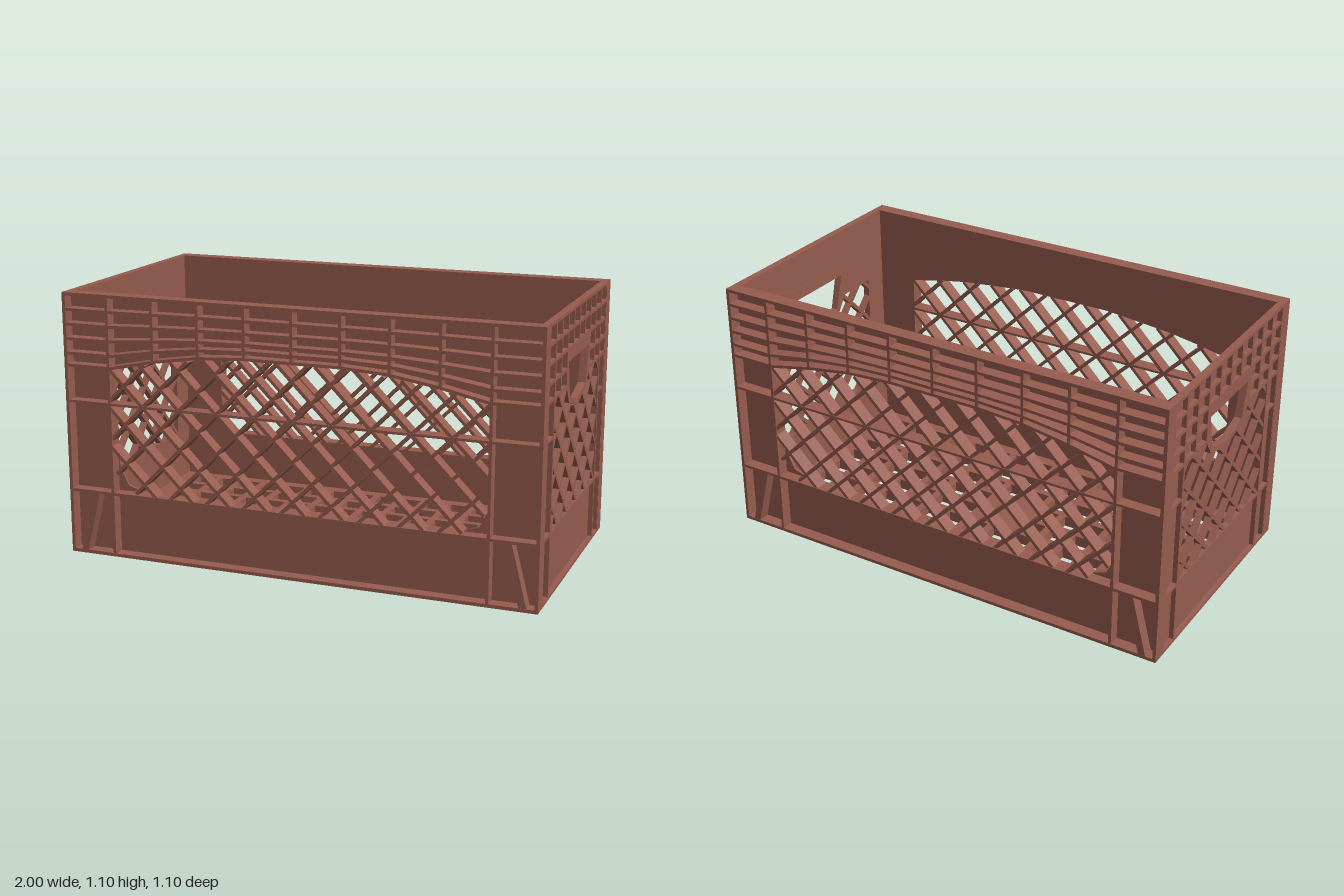
import * as THREE from 'three';
import { mergeGeometries } from 'three/addons/utils/BufferGeometryUtils.js';

const H = 1.1, HX = 1, HZ = 0.55;
const LONG_DEPTH = 0.06, END_DEPTH = 0.03, SKIN = 0.01;
const plastic = new THREE.MeshStandardMaterial({ color: 0x965c4f });
plastic.name = 'brick plastic';

const mesh = (name, geos) => {
  const m = new THREE.Mesh(mergeGeometries(geos.map(g => (g.index ? g.toNonIndexed() : g))), plastic);
  m.name = name;
  return m;
};

// Straight rib in the wall plane; z = 0 is the outer face, inside is negative
function bar(u0, y0, u1, y1, t, z0, z1) {
  const g = new THREE.BoxGeometry(Math.hypot(u1 - u0, y1 - y0), t, z1 - z0);
  g.rotateZ(Math.atan2(y1 - y0, u1 - u0));
  return g.translate((u0 + u1) / 2, (y0 + y1) / 2, (z0 + z1) / 2);
}

const toPoints = p => p.map(([x, y]) => new THREE.Vector2(x, y));

function plate(outer, hole, z0, z1) {
  const s = new THREE.Shape(toPoints(outer));
  s.holes.push(new THREE.Path(toPoints(hole)));
  return new THREE.ExtrudeGeometry(s, { depth: z1 - z0, bevelEnabled: false }).translate(0, 0, z0);
}

const rect = (x, y0, y1) => [[-x, y0], [x, y0], [x, y1], [-x, y1]];

// Part of the line p + t*d inside a convex, counter-clockwise polygon
function clip(p, d, poly) {
  let a = -9, b = 9;
  poly.forEach(([x, y], i) => {
    const [x2, y2] = poly[(i + 1) % poly.length];
    const nx = y - y2, ny = x2 - x;
    const dist = nx * (p[0] - x) + ny * (p[1] - y), rate = nx * d[0] + ny * d[1];
    if (Math.abs(rate) < 1e-9) { if (dist < 0) b = -10; }
    else if (rate > 0) a = Math.max(a, -dist / rate);
    else b = Math.min(b, -dist / rate);
  });
  return b - a > 0.02 ? [a, b] : null;
}

// Diagonal lattice filling a polygon, leaving an optional cut-out free
function lattice(poly, yc, pitch, t, depth, cut) {
  const out = [];
  for (const s of [1, -1]) for (let k = -10; k <= 10; k++) {
    const p = [k * pitch, yc], d = [1, s];
    const span = clip(p, d, poly);
    if (!span) continue;
    const gap = cut && clip(p, d, cut);
    const parts = gap
      ? [[span[0], Math.min(span[1], gap[0])], [Math.max(span[0], gap[1]), span[1]]]
      : [span];
    for (const [a, b] of parts) {
      if (b - a > 0.015) out.push(bar(p[0] + a, yc + s * a, p[0] + b, yc + s * b, t, -depth, -0.004));
    }
  }
  return out;
}

function longWall() {
  const D = LONG_DEPTH;
  const rib = (u0, y0, u1, y1, t = 0.012) => bar(u0, y0, u1, y1, t, -D, -0.001);
  const open = [[-0.66, 0.27], [0.66, 0.27], [0.75, 0.3], [0.785, 0.37], [0.8, 0.48], [0.8, 0.8], [0.5, 0.85],
    [0.2, 0.88], [-0.2, 0.88], [-0.5, 0.85], [-0.8, 0.8], [-0.8, 0.48], [-0.785, 0.37], [-0.75, 0.3]];
  const ribs = [rib(-0.99, 0.27, 0.99, 0.27), rib(-0.99, 0.65, 0.99, 0.65, 0.01)];

  // Arched horizontal ribs of the upper band
  const edge = [0.8, 0.85, 0.91, 0.97, 1.03], mid = [0.885, 0.913, 0.942, 0.985, 1.035];
  const arch = (k, u) => {
    const s = THREE.MathUtils.clamp((0.8 - Math.abs(u)) / 0.6, 0, 1);
    return THREE.MathUtils.lerp(edge[k], mid[k], Math.sin(s * Math.PI / 2));
  };
  for (let k = 0; k < 5; k++) for (let i = -5; i < 5; i++) {
    const u0 = i * 0.2, u1 = u0 + 0.2;
    ribs.push(rib(u0 * 0.99, arch(k, u0), u1 * 0.99, arch(k, u1)));
  }
  for (let i = -4; i <= 4; i++) {
    ribs.push(rib(i * 0.2, Math.abs(i) === 4 ? 0.005 : arch(0, i * 0.2), i * 0.2, H - 0.005));
  }
  // Slanted corner gussets
  for (const s of [1, -1]) ribs.push(rib(s * 0.94, 0.012, s * 0.875, 0.27, 0.03));

  const g = new THREE.Group();
  g.add(mesh('wallSheet', [plate(rect(0.988, 0.002, H - 0.002), open, -D, -D + SKIN)]),
    mesh('wallRibs', ribs), mesh('wallLattice', lattice(open, 0.65, 0.163, 0.014, D)));
  return g;
}

function endWall() {
  const D = END_DEPTH;
  const rib = (u0, y0, u1, y1, t = 0.014) => bar(u0, y0, u1, y1, t, -D, -0.001);
  const open = [[-0.385, 0.27], [0.385, 0.27], [0.385, 0.8], [0.19, 0.8], [0.18, 0.9], [-0.18, 0.9], [-0.19, 0.8], [-0.385, 0.8]];
  const grip = [[0, 0.71], [0.135, 0.745], [0.175, 0.895], [-0.175, 0.895], [-0.135, 0.745]];
  const collar = [[0, 0.685], [0.15, 0.728], [0.2, 0.8], [0.2, 0.947], [-0.2, 0.947], [-0.2, 0.8], [-0.15, 0.728]];
  const ribs = [rib(-0.485, 0.268, 0.485, 0.268)];

  // Grid of small pockets in the upper band
  for (const y of [0.947, 1.02]) ribs.push(rib(-0.485, y, 0.485, y));
  for (let k = -5; k <= 5; k++) {
    const u = k * 0.097, a = Math.abs(k);
    ribs.push(rib(u, a >= 4 ? 0.005 : a < 2 ? 0.947 : 0.795, u, H - 0.005));
  }
  for (const s of [1, -1]) {
    for (const y of [0.8, 0.87]) ribs.push(rib(s * 0.19, y, s * 0.485, y));
    ribs.push(rib(s * 0.39, 0.65, s * 0.485, 0.65, 0.01));
    // Flat corner strip
    ribs.push(bar(s * 0.5165, 0, s * 0.5165, H, 0.067, -0.014, 0));
  }

  const g = new THREE.Group();
  const field = rect(0.385, 0.27, 0.8);
  g.add(mesh('wallSheet', [plate(rect(0.495, 0.002, H - 0.002), open, -D, -D + SKIN)]),
    mesh('wallRibs', ribs), mesh('wallLattice', lattice(field, 0.49, 0.163, 0.016, D, collar)),
    mesh('handleCollar', [plate(collar, grip, -D - 0.002, -0.001)]));
  return g;
}

// Flat rectangular ring lying between two heights
function ring(name, outX, outZ, inX, inZ, y0, y1) {
  const g = plate(rect(outX, -outZ, outZ), rect(inX, -inZ, inZ), y0, y1);
  return mesh(name, [g.rotateX(-Math.PI / 2)]);
}

function floorGrid() {
  const geos = [], y = 0.04, h = 0.045;
  const add = (w, d, x, z) => geos.push(new THREE.BoxGeometry(w, h, d).translate(x, y, z));
  for (let i = -7; i <= 7; i++) add(0.032, 0.89, i * 0.1125, 0);
  for (let k = -3; k <= 3; k++) add(1.78, 0.032, 0, k * 0.111);
  add(0.25, 0.25, 0, 0);
  return mesh('floorGrid', geos);
}

export function createModel() {
  const crate = new THREE.Group();
  crate.name = 'crate';
  const place = (name, wall, angle, dist) => {
    wall.name = name;
    wall.rotation.y = angle;
    wall.position.set(Math.sin(angle) * dist, 0, Math.cos(angle) * dist);
    crate.add(wall);
  };
  place('frontWall', longWall(), 0, HZ);
  place('backWall', longWall(), Math.PI, HZ);
  place('leftWall', endWall(), Math.PI / 2, HX);
  place('rightWall', endWall(), -Math.PI / 2, HX);
  crate.add(
    ring('topRim', HX, HZ, HX - END_DEPTH, HZ - LONG_DEPTH, H - 0.013, H),
    ring('bottomRim', HX, HZ, 0.92, 0.475, 0, 0.014),
    ring('floorBorder', 0.975, 0.495, 0.886, 0.438, 0.0175, 0.0625),
    floorGrid());
  return crate;
}
